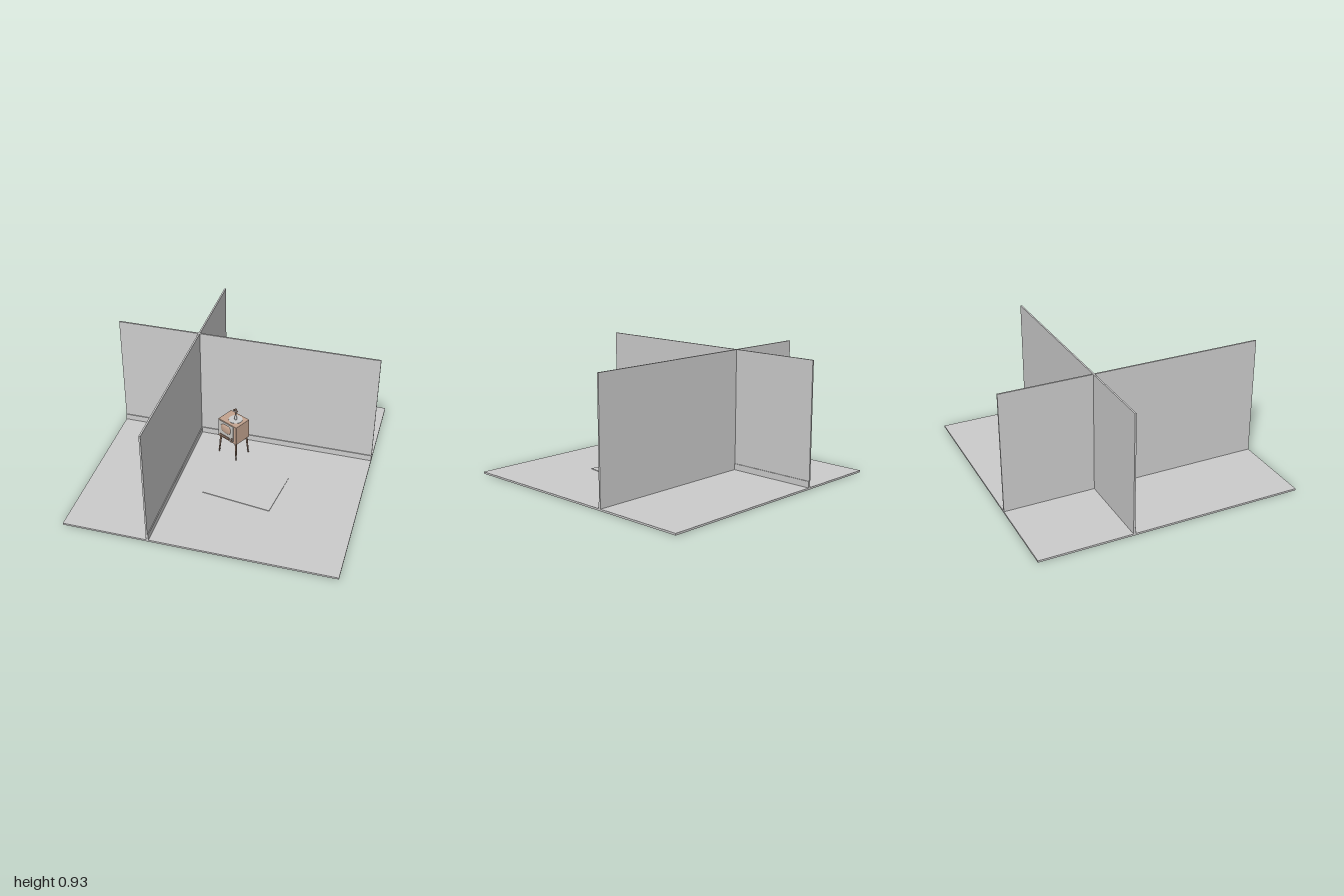
import * as THREE from 'three';
import { RoundedBoxGeometry } from 'three/addons/geometries/RoundedBoxGeometry.js';

function material(name, color, side = THREE.FrontSide) {
  const m = new THREE.MeshStandardMaterial({ color, side });
  m.name = name;
  return m;
}

function add(parent, name, geometry, mat, x = 0, y = 0, z = 0) {
  const mesh = new THREE.Mesh(geometry, mat);
  mesh.name = name;
  mesh.position.set(x, y, z);
  parent.add(mesh);
  return mesh;
}

// Tapered rod between two points
function rod(parent, name, from, to, rFrom, rTo, mat) {
  const dir = to.clone().sub(from);
  const mesh = add(parent, name, new THREE.CylinderGeometry(rTo, rFrom, dir.length(), 12), mat);
  mesh.position.copy(from).addScaledVector(dir, 0.5);
  mesh.quaternion.setFromUnitVectors(new THREE.Vector3(0, 1, 0), dir.normalize());
  return mesh;
}

export function createModel() {
  const root = new THREE.Group();
  root.name = 'roomWithTelevision';
  const grey = material('plainGrey', 0xcccccc);
  const wood = material('wood', 0xc4a48f);
  const darkWood = material('darkWood', 0x8f7464);
  const silver = material('silverPanel', 0xc9c8c4);
  const white = material('ornamentGrey', 0xcccccc, THREE.DoubleSide);
  const box = (w, h, d) => new THREE.BoxGeometry(w, h, d);
  const floorTop = 0.014;

  // Floor, two crossing walls and their baseboards
  const wallHeight = 0.93 - floorTop;
  const wallY = floorTop + wallHeight / 2;
  add(root, 'floor', box(2, floorTop, 2), grey, 0, floorTop / 2, 0);
  add(root, 'sideWall', box(0.012, wallHeight, 2), grey, -0.366, wallY, 0);
  add(root, 'backWall', box(2, wallHeight, 0.012), grey, 0, wallY, -0.302);
  add(root, 'sideBaseboard', box(0.006, 0.047, 2), grey, -0.357, floorTop + 0.0235, 0);
  add(root, 'backBaseboard', box(2, 0.047, 0.006), grey, 0, floorTop + 0.0235, -0.293);

  // Rug
  const rug = add(root, 'rug', box(0.529, 0.005, 0.405), grey, 0.15, floorTop + 0.0025, 0.246);
  rug.rotation.y = -0.133;

  // Television, turned toward the room
  const tv = new THREE.Group();
  tv.name = 'television';
  tv.position.set(-0.048, 0, -0.119);
  tv.rotation.y = -0.47;
  root.add(tv);
  add(tv, 'cabinet', new RoundedBoxGeometry(0.186, 0.163, 0.147, 2, 0.004), wood, 0, 0.2465, 0);

  // Front panel with bulging screen, speaker and knobs
  const front = 0.0735;
  add(tv, 'frontPanel', box(0.15, 0.142, 0.004), silver, -0.012, 0.251, front + 0.001);
  const outline = new THREE.SphereGeometry(1, 32, 16);
  const p = outline.attributes.position;
  for (let i = 0; i < p.count; i++) {
    // Square off the round outline
    const a = Math.abs(p.getX(i)), b = Math.abs(p.getY(i));
    const r = Math.hypot(a, b);
    if (r > 1e-6) {
      const k = r / Math.pow(a ** 3 + b ** 3, 1 / 3);
      p.setXY(i, p.getX(i) * k, p.getY(i) * k);
    }
  }
  outline.scale(0.049, 0.039, 0.013);
  outline.computeVertexNormals();
  add(tv, 'screen', outline, wood, -0.012, 0.267, front + 0.002);
  add(tv, 'speaker', box(0.1, 0.019, 0.008), darkWood, -0.024, 0.191, front + 0.003);
  for (const y of [0.185, 0.204]) {
    const knob = add(tv, 'knob', new THREE.CylinderGeometry(0.007, 0.008, 0.014, 16), darkWood, 0.052, y, front + 0.007);
    knob.rotation.x = Math.PI / 2;
  }

  // Splayed legs
  for (const sx of [-1, 1]) {
    for (const sz of [-1, 1]) {
      rod(tv, 'leg', new THREE.Vector3(sx * 0.088, floorTop, sz * 0.07),
        new THREE.Vector3(sx * 0.076, 0.17, sz * 0.06), 0.005, 0.009, darkWood);
    }
  }

  // Doily, vase and flowers on the cabinet
  const ornament = new THREE.Group();
  ornament.name = 'ornament';
  ornament.position.set(0.016, 0.328, -0.004);
  tv.add(ornament);
  add(ornament, 'doily', new THREE.CylinderGeometry(0.053, 0.053, 0.003, 32), white, 0, 0.0015, 0);
  const profile = [[0, 0.003], [0.009, 0.003], [0.011, 0.014], [0.009, 0.03], [0.005, 0.042], [0.006, 0.052]]
    .map(([x, y]) => new THREE.Vector2(x, y));
  add(ornament, 'vase', new THREE.LatheGeometry(profile, 20), white);
  const blooms = [[-0.013, 0.084, 0.002], [0, 0.093, -0.002], [0.013, 0.082, 0.001]];
  for (const [x, y, z] of blooms) {
    rod(ornament, 'stem', new THREE.Vector3(0, 0.04, 0), new THREE.Vector3(x, y, z), 0.0015, 0.0015, darkWood);
    const bloom = add(ornament, 'bloom', new THREE.SphereGeometry(0.009, 12, 8), darkWood, x, y, z);
    bloom.scale.y = 0.8;
  }
  return root;
}
